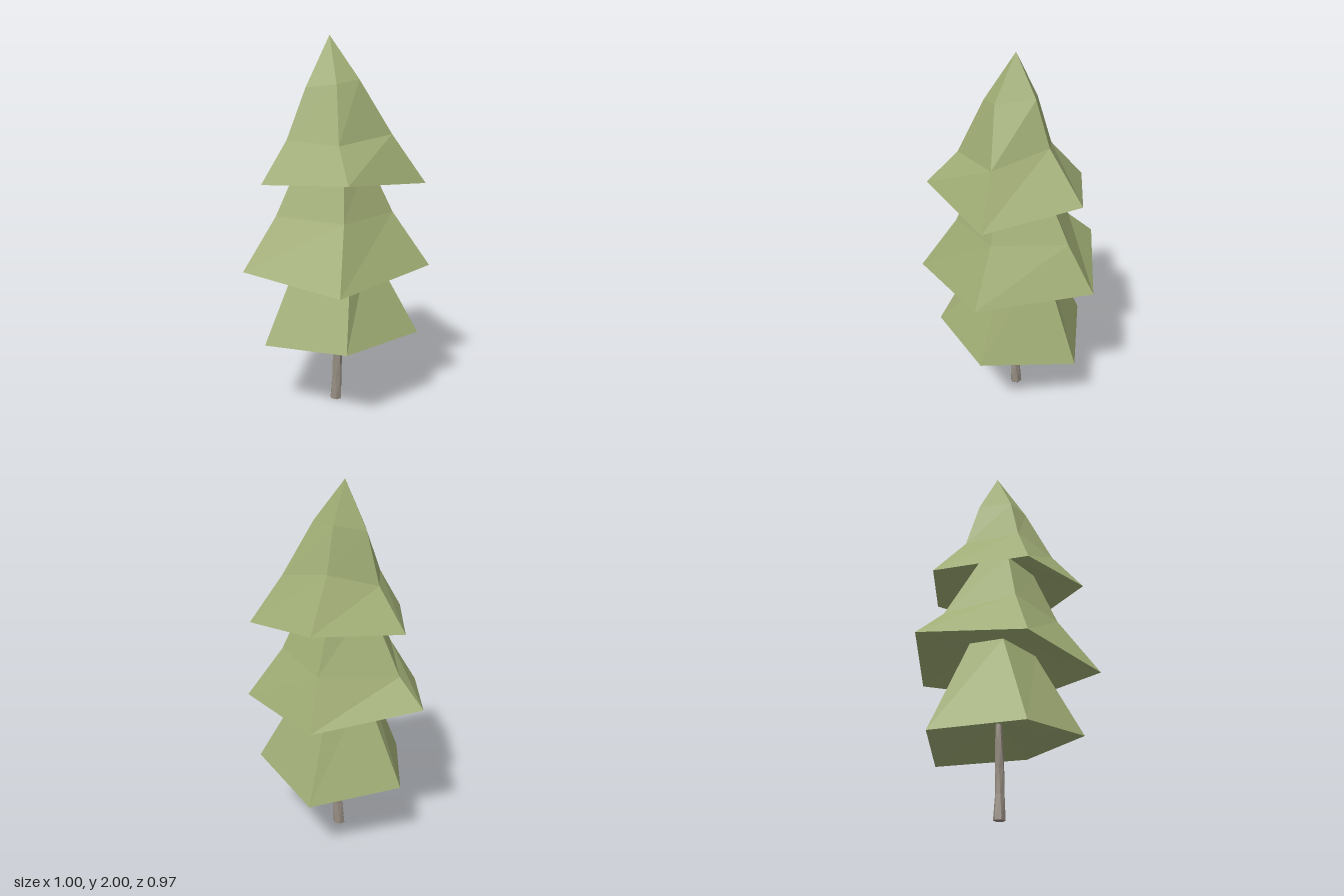
import * as THREE from 'three';

// Skin a stack of equal-sized rings (clockwise from above), flat shaded
function loft(name, rings, color) {
  const pos = [];
  const tri = (a, b, c) => {
    const n = new THREE.Vector3().crossVectors(
      new THREE.Vector3().subVectors(b, a), new THREE.Vector3().subVectors(c, a));
    if (n.length() > 1e-9) for (const p of [a, b, c]) pos.push(p.x, p.y, p.z);
  };
  for (let r = 0; r + 1 < rings.length; r++) {
    const lo = rings[r], hi = rings[r + 1];
    for (let i = 0; i < lo.length; i++) {
      const j = (i + 1) % lo.length;
      tri(lo[j], lo[i], hi[i]);
      tri(lo[j], hi[i], hi[j]);
    }
  }
  const geo = new THREE.BufferGeometry();
  geo.setAttribute('position', new THREE.Float32BufferAttribute(pos, 3));
  geo.computeVertexNormals();
  const mesh = new THREE.Mesh(geo, new THREE.MeshStandardMaterial({ color, flatShading: true, roughness: 1 }));
  mesh.name = name;
  return mesh;
}

const ring = (...pts) => pts.map(p => new THREE.Vector3(...p));
const point = (x, y, z, n = 5) => Array.from({ length: n }, () => new THREE.Vector3(x, y, z));

export function createModel() {
  const tree = new THREE.Group();
  tree.name = 'pineTree';
  const green = 0xa0ad75, bark = 0x968d82;

  // Five-cornered rings, each ordered: back, right-back, front-right, front-left, left-back
  const lowerTop = ring([0, 0.92, -0.15], [0.19, 0.9, -0.04], [0.18, 0.9, 0.15], [-0.11, 0.9, 0.15], [-0.15, 0.91, -0.04]);
  const middleTop = ring([0, 1.38, -0.14], [0.19, 1.38, 0], [0.15, 1.38, 0.17], [-0.1, 1.38, 0.18], [-0.15, 1.38, 0.02]);

  // Lower tier, with a hollowed underside
  tree.add(loft('lowerBranches', [
    point(0.02, 0.5, 0.02),
    ring([0.02, 0.345, -0.41], [0.45, 0.43, -0.11], [0.28, 0.43, 0.375], [-0.22, 0.385, 0.37], [-0.39, 0.385, -0.11]),
    lowerTop,
  ], green));

  // Middle tier, its underside starting at the top of the lower one
  tree.add(loft('middleBranches', [
    lowerTop,
    ring([-0.02, 0.815, -0.485], [0.5, 0.81, -0.13], [0.3, 0.76, 0.48], [-0.3, 0.8, 0.44], [-0.5, 0.865, -0.105]),
    ring([0, 1.06, -0.325], [0.31, 1.09, -0.07], [0.21, 1.08, 0.28], [-0.19, 1.08, 0.29], [-0.35, 1.01, -0.05]),
    middleTop,
  ], green));

  // Top tier, narrowing to the tip
  tree.add(loft('topBranches', [
    middleTop,
    ring([0, 1.305, -0.41], [0.46, 1.245, -0.15], [0.3, 1.3, 0.4], [-0.21, 1.26, 0.39], [-0.39, 1.265, -0.1]),
    ring([0, 1.56, -0.19], [0.3, 1.5, -0.07], [0.18, 1.47, 0.28], [-0.13, 1.48, 0.27], [-0.22, 1.48, -0.02]),
    ring([0, 1.79, -0.1], [0.16, 1.78, 0.03], [0.1, 1.76, 0.16], [-0.07, 1.74, 0.18], [-0.14, 1.75, 0.01]),
    point(-0.01, 2, 0.04),
  ], green));

  // Slightly bent and twisted six-sided trunk: [x, y, z, radius, twist]
  const trunk = [[0.018, 0, 0.023, 0.034, 0], [0.024, 0.13, 0.022, 0.028, 0.25],
    [0.027, 0.26, 0.02, 0.026, 0.5], [0.019, 0.4, 0.022, 0.021, 0.8], [0.02, 0.53, 0.02, 0.016, 1]];
  const trunkRings = trunk.map(([x, y, z, r, twist]) => Array.from({ length: 6 }, (_, i) => {
    const a = i * Math.PI / 3 + twist;
    return new THREE.Vector3(x + r * Math.cos(a), y, z + r * 0.9 * Math.sin(a));
  }));
  tree.add(loft('trunk', [point(0.018, 0, 0.023, 6), ...trunkRings, point(0.02, 0.53, 0.02, 6)], bark));

  return tree;
}
